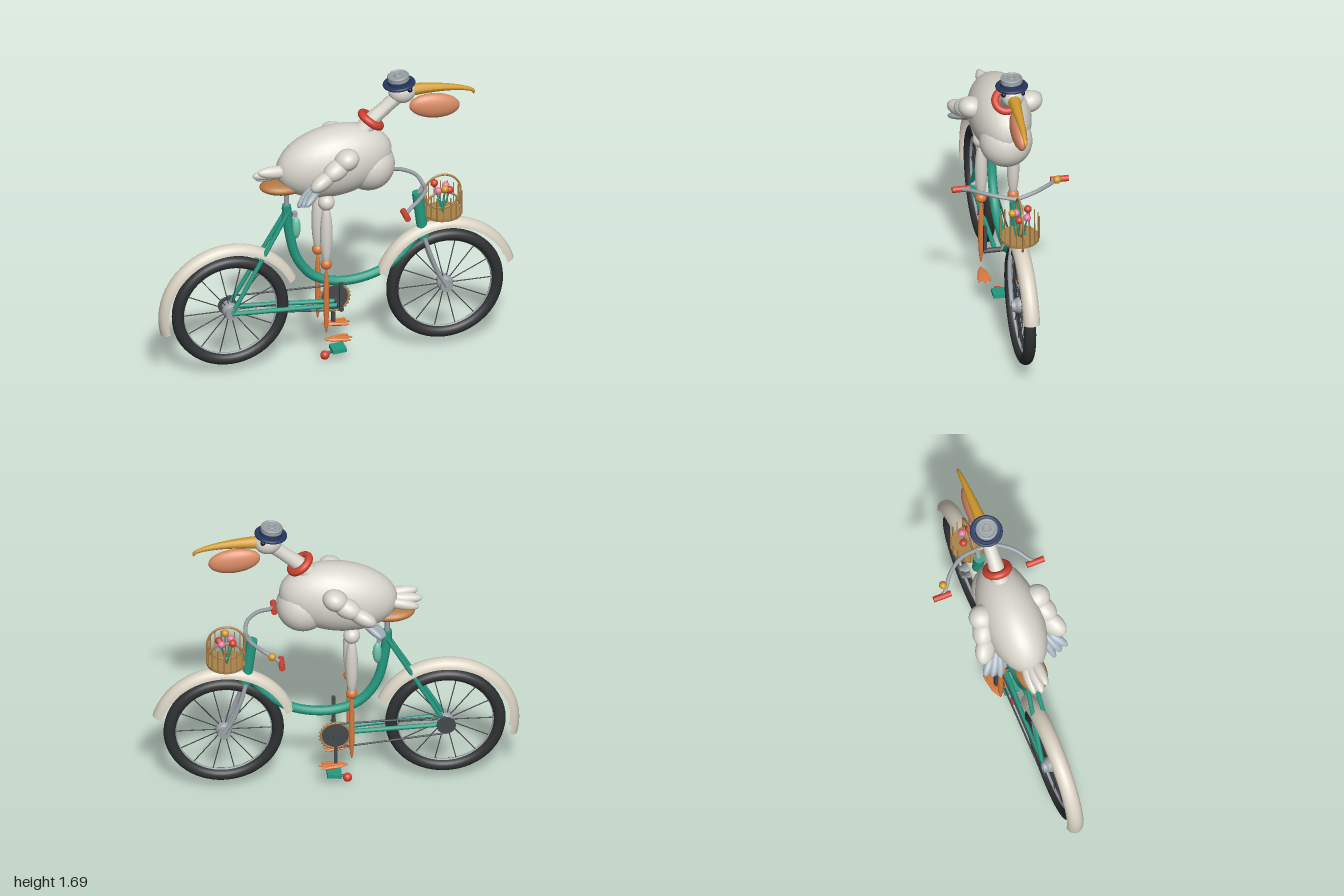
import * as THREE from 'three';

const V = (x, y, z = 0) => new THREE.Vector3(x, y, z);
const mat = (color) => new THREE.MeshStandardMaterial({ color, side: THREE.DoubleSide });
const M = {
  white: mat(0xd8d5cc), teal: mat(0x259a80), mint: mat(0x6cc4ab), cream: mat(0xdad3c4),
  tyre: mat(0x2e3032), dark: mat(0x45494d), grey: mat(0x9aa1a6), feather: mat(0xa5b3bd),
  orange: mat(0xd87a3e), gold: mat(0xd29a2e), salmon: mat(0xd98b66), navy: mat(0x26375f),
  brown: mat(0xb5793f), wicker: mat(0xa9824a), red: mat(0xd0432f), pink: mat(0xe07ba5), black: mat(0x151515),
};

export function createModel() {
  const model = new THREE.Group();
  let parent = model;
  const group = (name) => {
    parent = new THREE.Group();
    parent.name = name;
    model.add(parent);
    return parent;
  };
  const add = (name, geo, m, pos = V(0, 0)) => {
    const mesh = new THREE.Mesh(geo, m);
    mesh.name = name;
    mesh.position.copy(pos);
    parent.add(mesh);
    return mesh;
  };
  // Ellipsoid with half sizes s and Euler rotation r
  const blob = (name, m, pos, s, r = [0, 0, 0]) => {
    const mesh = add(name, new THREE.SphereGeometry(1, 28, 18), m, pos);
    mesh.scale.set(...s);
    mesh.rotation.set(...r);
    return mesh;
  };
  const ball = (name, m, pos, r) => blob(name, m, pos, [r, r, r]);
  // Ellipsoid stretched from a to b
  const leaf = (name, m, a, b, w, t) => {
    const d = b.clone().sub(a);
    const mesh = blob(name, m, a.clone().lerp(b, 0.5), [d.length() / 2, w, t]);
    mesh.quaternion.setFromUnitVectors(V(1, 0), d.normalize());
  };
  // Straight round bar from a to b
  const rod = (name, m, a, b, r, r2 = r, n = 12) => {
    const d = b.clone().sub(a);
    const mesh = add(name, new THREE.CylinderGeometry(r2, r, d.length(), n), m, a.clone().lerp(b, 0.5));
    mesh.quaternion.setFromUnitVectors(V(0, 1), d.normalize());
  };
  // Curved tube whose radius follows rule f(u)
  const bent = (name, m, pts, r, f = () => 1) => {
    const curve = new THREE.CatmullRomCurve3(pts), n = 40, k = 14;
    const geo = new THREE.TubeGeometry(curve, n, r, k);
    const p = geo.attributes.position, v = V(0, 0);
    for (let i = 0; i < p.count; i++) {
      const u = Math.floor(i / (k + 1)) / n, c = curve.getPointAt(u);
      v.fromBufferAttribute(p, i).sub(c).multiplyScalar(f(u)).add(c);
      p.setXYZ(i, v.x, v.y, v.z);
    }
    geo.computeVertexNormals();
    return add(name, geo, m);
  };
  const ring = (name, m, pos, R, r) => add(name, new THREE.TorusGeometry(R, r, 14, 56), m, pos);

  // Wheels and half-round mudguards
  for (const [name, x, from, to] of [['rearWheel', -0.6, 24, 194], ['frontWheel', 0.6, 16, 162]]) {
    group(name);
    const c = V(x, 0.375);
    ring('tyre', M.tyre, c, 0.293, 0.033);
    ring('rim', M.grey, c, 0.264, 0.008);
    rod('hub', M.grey, V(x, 0.375, -0.05), V(x, 0.375, 0.05), 0.034, 0.034, 24);
    ball('hubCentre', M.grey, c, 0.045);
    for (let i = 0; i < 14; i++) {
      const a = (i / 14) * Math.PI * 2;
      rod('spoke', M.dark, c, V(x + 0.265 * Math.cos(a), 0.375 + 0.265 * Math.sin(a)), 0.003, 0.003, 6);
    }
    const arc = [];
    for (let i = 0; i <= 12; i++) {
      const a = (i / 12 - 0.5) * Math.PI;
      arc.push(new THREE.Vector2(0.354 + 0.046 * Math.cos(a), 0.046 * Math.sin(a)));
    }
    const rad = Math.PI / 180;
    const guard = new THREE.LatheGeometry(arc, 48, (90 - to) * rad, (to - from) * rad);
    add('mudguard', guard.rotateX(-Math.PI / 2), M.cream, c);
  }

  // Step-through frame
  group('frame');
  bent('mainTube', M.teal, [V(-0.285, 0.96), V(-0.268, 0.8), V(-0.225, 0.64), V(-0.13, 0.52),
    V(0.03, 0.468), V(0.23, 0.5), V(0.37, 0.6), V(0.475, 0.74)], 0.026);
  rod('seatCluster', M.teal, V(-0.285, 0.89), V(-0.285, 0.975), 0.026);
  rod('seatPost', M.grey, V(-0.285, 0.95), V(-0.285, 1.09), 0.014);
  rod('headTube', M.teal, V(0.485, 0.65), V(0.447, 0.95), 0.03, 0.03, 20);
  for (const s of [-1, 1]) {
    rod('seatStay', M.teal, V(-0.285, 0.93, s * 0.02), V(-0.6, 0.375, s * 0.045), 0.012);
    rod('chainStay', M.teal, V(0, 0.335, s * 0.025), V(-0.6, 0.375, s * 0.045), 0.013);
    bent('forkBlade', M.grey, [V(0.48, 0.68, s * 0.025), V(0.51, 0.58, s * 0.042),
      V(0.55, 0.47, s * 0.045), V(0.6, 0.375, s * 0.045)], 0.012);
  }
  leaf('saddle', M.brown, V(-0.435, 1.1), V(-0.18, 1.09), 0.038, 0.085);
  blob('bottle', M.mint, V(-0.232, 0.83), [0.026, 0.065, 0.026]);
  add('bottleCap', new THREE.BoxGeometry(0.026, 0.026, 0.026), M.grey, V(-0.24, 0.915));

  // Crank, chainring and chain
  group('drivetrain');
  rod('axle', M.dark, V(0, 0.34, -0.09), V(0, 0.34, 0.09), 0.014);
  rod('chainring', M.dark, V(0, 0.34, -0.062), V(0, 0.34, -0.052), 0.072, 0.072, 32);
  ring('chainringRim', M.wicker, V(0, 0.34, -0.057), 0.078, 0.006);
  for (let i = 0; i < 24; i++) {
    const a = (i / 24) * Math.PI * 2;
    ball('tooth', M.wicker, V(0.085 * Math.cos(a), 0.34 + 0.085 * Math.sin(a), -0.057), 0.006).geometry = new THREE.SphereGeometry(1, 8, 6);
  }
  rod('upperChain', M.dark, V(-0.6, 0.43, -0.058), V(0, 0.415, -0.058), 0.005);
  rod('lowerChain', M.dark, V(-0.6, 0.325, -0.058), V(0, 0.26, -0.058), 0.005);
  rod('sprocket', M.dark, V(-0.6, 0.375, -0.062), V(-0.6, 0.375, -0.054), 0.052, 0.052, 24);
  for (const s of [-1, 1]) {
    add('crankArm', new THREE.BoxGeometry(0.02, 0.165, 0.016), M.dark, V(0, 0.34 + s * 0.078, s * 0.082));
  }

  // Handlebar, grips and bell
  group('handlebar');
  rod('stem', M.grey, V(0.449, 0.93), V(0.485, 0.99), 0.014);
  for (const s of [-1, 1]) {
    bent('bar', M.grey, [V(0.485, 0.985), V(0.465, 1.005, s * 0.1), V(0.4, 1.0, s * 0.19),
      V(0.335, 0.98, s * 0.24), V(0.31, 0.97, s * 0.27)], 0.011);
    rod('grip', M.red, V(0.308, 0.97, s * 0.22), V(0.308, 0.97, s * 0.32), 0.017, 0.017, 18);
  }
  ball('bell', M.gold, V(0.357, 1.0, -0.247), 0.022);

  // Wicker basket with flowers
  group('basket');
  const bx = 0.587;
  rod('basketFloor', M.wicker, V(bx, 0.802), V(bx, 0.818), 0.105, 0.105, 32);
  for (const y of [0.83, 0.935]) ring('basketHoop', M.wicker, V(bx, y), 0.102, 0.006);
  for (let i = 0; i < 18; i++) {
    const a = (i / 18) * Math.PI * 2, x = bx + 0.105 * Math.cos(a), z = 0.105 * Math.sin(a);
    rod('basketRod', M.wicker, V(x, 0.805, z), V(x, 0.945, z), 0.0035, 0.0035, 6);
  }
  for (const [m, x, y, z] of [[M.red, 0.555, 0.965, -0.05], [M.pink, 0.615, 0.95, -0.035],
    [M.gold, 0.59, 0.97, 0.042], [M.red, 0.625, 0.945, 0.01], [M.pink, 0.56, 0.95, 0.015]]) {
    rod('flowerStem', M.teal, V(bx, 0.81, z * 0.5), V(x, y, z), 0.004, 0.004, 6);
    ball('flower', m, V(x, y, z), 0.021);
  }

  // Bird body, neck and head
  group('bird');
  blob('body', M.white, V(-0.02, 1.215), [0.325, 0.2, 0.168], [0, 0, 0.15]);
  ball('breast', M.white, V(0.172, 1.165), 0.145);
  bent('neck', M.white, [V(0.1, 1.32), V(0.18, 1.42), V(0.265, 1.495), V(0.36, 1.575)], 0.06, (u) => 1.05 - 0.42 * Math.sin(u * 2.2));
  const collar = ring('collar', M.red, V(0.187, 1.432), 0.06, 0.022);
  collar.quaternion.setFromUnitVectors(V(0, 0, 1), V(0.6, 0.8));
  blob('head', M.white, V(0.362, 1.582), [0.075, 0.066, 0.062]);
  bent('upperBill', M.gold, [V(0.4, 1.585), V(0.5, 1.583), V(0.62, 1.572), V(0.72, 1.55), V(0.76, 1.53), V(0.762, 1.508)],
    0.036, (u) => Math.max(0, u > 0.96 ? (1 - u) * 6 : 1 - 0.79 * u));
  blob('pouch', M.salmon, V(0.543, 1.47), [0.142, 0.072, 0.042], [0, 0, -0.13]);
  for (const s of [-1, 1]) ball('eye', M.black, V(0.392, 1.612, s * 0.052), 0.014);

  // Straw boater style hat
  const hat = group('hat');
  rod('brim', M.navy, V(0, -0.007), V(0, 0.007), 0.085, 0.085, 36);
  ring('brimEdge', M.navy, V(0, 0), 0.08, 0.009).rotation.x = Math.PI / 2;
  rod('band', M.navy, V(0, 0), V(0, 0.026), 0.063, 0.062, 36);
  rod('crown', M.grey, V(0, 0.02), V(0, 0.05), 0.059, 0.059, 36);
  ring('crownEdge', M.grey, V(0, 0.047), 0.052, 0.008).rotation.x = Math.PI / 2;
  ring('crownButton', M.grey, V(0, 0.052), 0.02, 0.005).rotation.x = Math.PI / 2;
  hat.position.set(0.345, 1.632, 0);
  hat.rotation.z = 0.11;

  // Tail fan
  group('tail');
  for (const i of [-1, 0, 1]) {
    leaf('tailFeather', M.white, V(-0.24, 1.19, i * 0.02), V(-0.475 + 0.02 * Math.abs(i), 1.175 + i * 0.035, i * 0.035), 0.032, 0.035);
  }

  // Wings and legs, mirrored
  for (const s of [-1, 1]) {
    group(s > 0 ? 'leftWing' : 'rightWing');
    leaf('shoulder', M.white, V(0.07, 1.31, s * 0.13), V(-0.055, 1.27, s * 0.185), 0.075, 0.06);
    leaf('upperWing', M.white, V(0.02, 1.275, s * 0.14), V(-0.125, 1.22, s * 0.21), 0.06, 0.055);
    leaf('lowerWing', M.white, V(-0.06, 1.22, s * 0.15), V(-0.205, 1.175, s * 0.24), 0.058, 0.045);
    for (let i = 0; i < 3; i++) {
      leaf('flightFeather', M.feather, V(-0.14, 1.16 - i * 0.01, s * (0.12 + i * 0.015)),
        V(-0.265 + i * 0.012, 1.04 + i * 0.02, s * (0.16 + i * 0.04)), 0.026, 0.022);
    }

    group(s > 0 ? 'leftLeg' : 'rightLeg');
    const x = -0.086, z = s * 0.088;
    ball('hip', M.white, V(x, 1.01, z), 0.046);
    blob('thigh', M.white, V(x, 0.81, z), [0.034, 0.185, 0.034]);
    ball('knee', M.orange, V(x, 0.632, z), 0.031);
    blob('shin', M.orange, V(x, 0.41, z), [0.016, 0.2, 0.016]);
    const fx = s > 0 ? -0.02 : 0.015;
    blob('footWeb', M.orange, V(fx, 0.168, z), [0.068, 0.008, 0.03]);
    for (const t of [-1, 0, 1]) {
      leaf('toe', M.orange, V(fx - 0.08, 0.17, z), V(fx + 0.08 - 0.015 * Math.abs(t), 0.165, z + t * 0.035), 0.01, 0.011);
    }
  }

  // Low trinket beneath the crank
  group('lowPedal');
  add('pedalPlate', new THREE.BoxGeometry(0.078, 0.022, 0.084), M.teal, V(0.003, 0.058)).rotation.z = 0.08;
  rod('pedalRod', M.dark, V(-0.06, 0.035), V(-0.005, 0.045), 0.007);
  ball('pedalBall', M.red, V(-0.07, 0.025), 0.025);

  return model;
}
